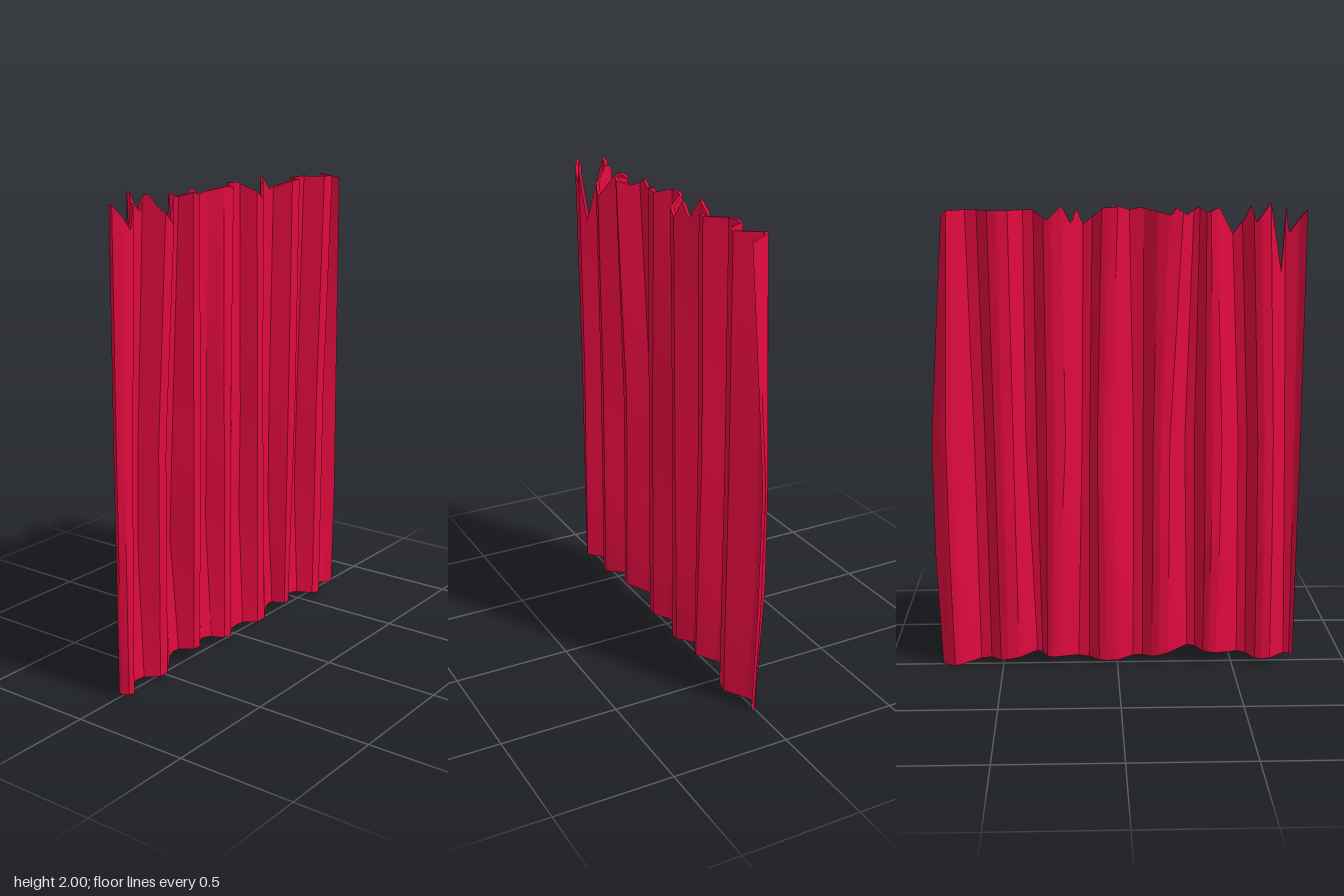
import * as THREE from 'three';
import { toCreasedNormals } from 'three/addons/utils/BufferGeometryUtils.js';

// piecewise-linear lookup through sorted [key, value] points
function along(points, t) {
  if (t <= points[0][0]) return points[0][1];
  for (let i = 1; i < points.length; i++) {
    const [a, va] = points[i - 1], [b, vb] = points[i];
    if (t <= b) return va + (vb - va) * (t - a) / (b - a);
  }
  return points[points.length - 1][1];
}

// torn upper edge and gently waved hem: [x, y]
const TOP = [
  [-0.79, 1.97], [-0.715, 1.87], [-0.705, 1.98], [-0.68, 1.71], [-0.63, 2], [-0.57, 1.92], [-0.55, 1.99],
  [-0.53, 1.93], [-0.48, 1.87], [-0.42, 1.98], [-0.37, 1.96], [-0.34, 1.98], [-0.29, 1.95], [-0.24, 1.98],
  [-0.22, 1.95], [-0.14, 1.97], [-0.09, 1.98], [-0.05, 1.97], [-0.01, 1.985], [0.06, 1.98], [0.14, 1.91],
  [0.17, 1.98], [0.19, 1.91], [0.23, 1.99], [0.29, 1.93], [0.35, 1.97], [0.7, 1.97], [0.725, 1.95],
];
const HEM = [[-0.78, 0.02], [-0.6, 0.02], [-0.5, 0.035], [-0.4, 0.055], [-0.31, 0.065], [-0.22, 0.05], [-0.12, 0.028],
  [0, 0.02], [0.14, 0.02], [0.25, 0.035], [0.36, 0.045], [0.48, 0.03], [0.6, 0.01], [0.77, 0]];

// each pleat: x of the front ridge and of the rear valley at top, middle, bottom,
// then ridge z at the top and lower down, valley z at the top and lower down
const PLEATS = [
  { ridge: [-0.70, -0.72, -0.74], valley: [-0.63, -0.66, -0.67], z: [0.06, 0.045, -0.03, -0.053] },
  { ridge: [-0.48, -0.52, -0.53], valley: [-0.41, -0.44, -0.43], z: [0.073, 0.045, -0.01, -0.077] },
  { ridge: [-0.32, -0.29, -0.31], valley: [-0.27, -0.22, -0.22], z: [0.063, 0.04, -0.03, -0.06] },
  { ridge: [-0.05, -0.07, -0.07], valley: [0.0, 0.03, 0.0], z: [0.026, 0.026, -0.035, -0.053] },
  { ridge: [0.14, 0.15, 0.17], valley: [0.23, 0.22, 0.27], z: [0.038, 0.035, -0.035, -0.053] },
  { ridge: [0.39, 0.39, 0.35], valley: [0.45, 0.44, 0.43], z: [0.048, 0.04, -0.035, -0.055] },
  { ridge: [0.63, 0.61, 0.6], valley: [0.69, 0.70, 0.69], z: [0.058, 0.045, -0.035, -0.052] },
];
const LEFT_END = [[0, -0.775], [1, -0.785], [1.97, -0.79]];
const RIGHT_END = [[0, 0.765], [0.5, 0.785], [1, 0.787], [1.6, 0.75], [1.97, 0.725]];
const HALF_THICKNESS = 0.007;

const heights = ([top, mid, low]) => [[0, low], [1, mid], [1.97, top]];
const lerp = THREE.MathUtils.lerp;

// zigzag cross-section [x, z] of the cloth at a given height, with blunted ridges and valleys
function section(y) {
  const x0 = along(LEFT_END, y), x1 = along(RIGHT_END, y);
  const pts = [[x0, along([[0, 0.01], [1, 0.02], [1.97, 0.03]], y)]];
  let from = x0;
  PLEATS.forEach(({ ridge, valley, z: [ridgeTop, ridgeLow, valleyTop, valleyLow] }, i) => {
    const r = along(heights(ridge), y), v = along(heights(valley), y);
    const rz = along([[0, ridgeLow], [1, ridgeLow], [1.97, ridgeTop]], y);
    const vz = along([[0, -0.025], [0.55, valleyLow], [1, lerp(valleyLow, valleyTop, 0.3)], [1.97, valleyTop]], y);
    pts.push([lerp(from, r, i ? 0.73 : 0.35), rz * 0.85], [r, rz], [v, lerp(vz, rz, 0.08)]);
    from = v;
    const next = i < 6 ? along(heights(PLEATS[i + 1].ridge), y) : x1;
    pts.push([lerp(v, next, 0.27), vz], [lerp(v, next, 0.47), lerp(vz, rz, 0.1)]);
  });
  pts.push([x1, along([[0, 0.01], [1, 0], [1.97, 0.035]], y)]);
  return pts;
}

// closed sheet: each row runs along the front and returns along the back
function clothGeometry(rows = 20, perFace = 10) {
  const columns = section(0).length - 1;
  const count = columns * perFace, ring = 2 * (count + 1);
  const at = (pts, c) => {
    const i = Math.min(Math.floor(c / perFace), columns - 1), f = c / perFace - i;
    return [lerp(pts[i][0], pts[i + 1][0], f), lerp(pts[i][1], pts[i + 1][1], f)];
  };
  const topLine = section(1.97), hemLine = section(0);
  const position = [], index = [];
  const quad = (a, b, c, d) => index.push(a, b, c, a, c, d);
  for (let r = 0; r <= rows; r++) {
    for (let k = 0; k < ring; k++) {
      const front = k <= count, c = front ? k : ring - 1 - k;
      const y = lerp(along(HEM, at(hemLine, c)[0]), along(TOP, at(topLine, c)[0]), r / rows);
      const [x, z] = at(section(y), c);
      position.push(x, y, z + (front ? HALF_THICKNESS : -HALF_THICKNESS));
      const a = r * ring + k, b = r * ring + (k + 1) % ring;
      if (r < rows) quad(a, b, b + ring, a + ring);
    }
  }
  // narrow rims along the hem and the torn edge
  const last = rows * ring;
  for (let c = 0; c < count; c++) {
    const back = ring - 1 - c;
    quad(c, back, back - 1, c + 1);
    quad(last + c, last + c + 1, last + back - 1, last + back);
  }
  const g = new THREE.BufferGeometry();
  g.setAttribute('position', new THREE.Float32BufferAttribute(position, 3));
  g.setIndex(index);
  return toCreasedNormals(g, 0.6);
}

export function createModel() {
  const group = new THREE.Group();
  group.name = 'curtain';
  // pleated hanging cloth
  const cloth = new THREE.Mesh(
    clothGeometry(),
    new THREE.MeshStandardMaterial({ color: 0xe00a3e }),
  );
  cloth.name = 'pleatedCloth';
  group.add(cloth);
  return group;
}
